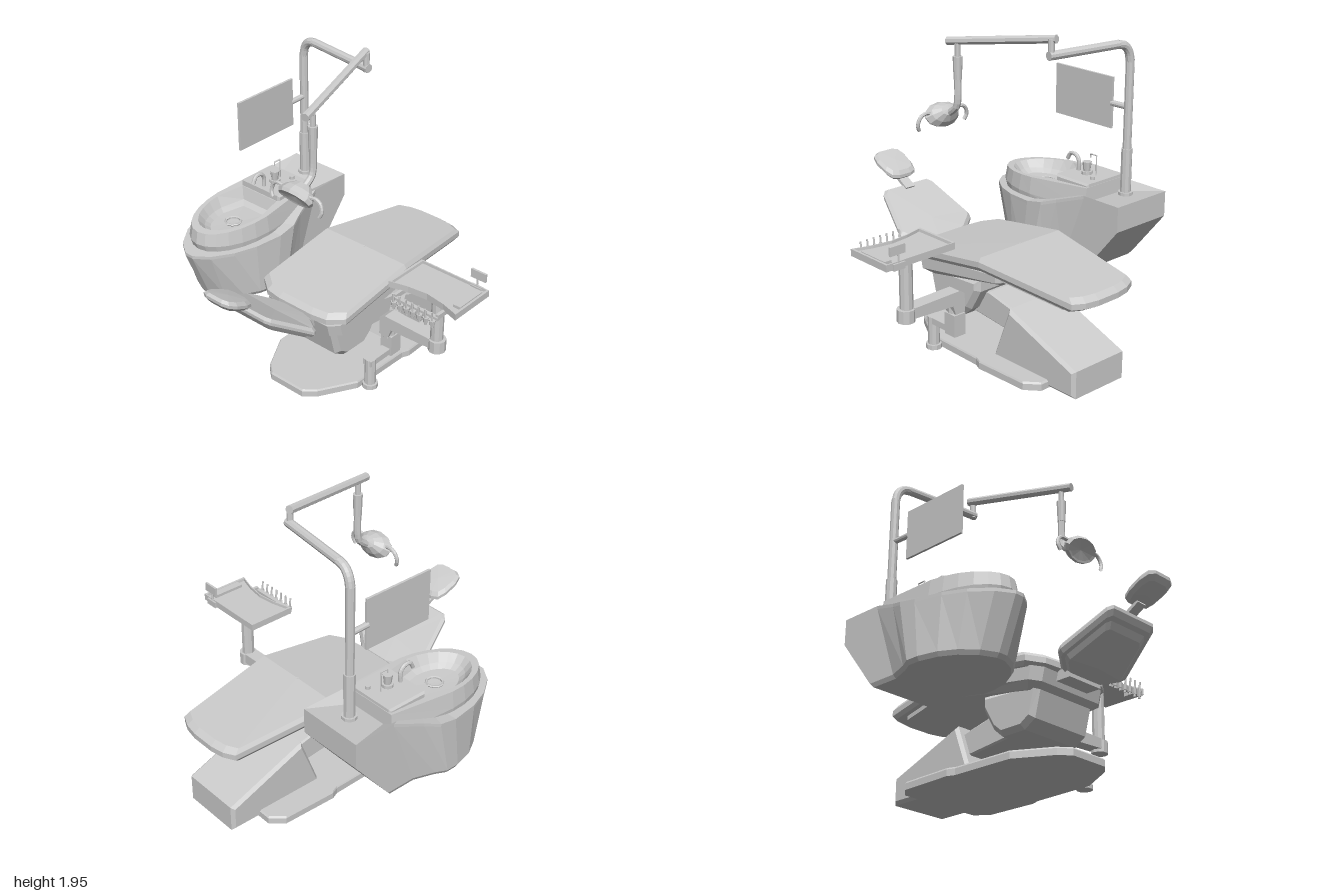
import * as THREE from 'three';

const mat = new THREE.MeshStandardMaterial({ color: 0xcccccc, flatShading: true, side: THREE.DoubleSide });
const V = (x, y, z) => new THREE.Vector3(x, y, z);

export function createModel() {
  const root = new THREE.Group();
  const add = (name, geo, x = 0, y = 0, z = 0, parent = root) => {
    const m = new THREE.Mesh(geo, mat);
    m.name = name;
    m.position.set(x, y, z);
    parent.add(m);
    return m;
  };
  const box = (name, x0, x1, y0, y1, z0, z1) =>
    add(name, new THREE.BoxGeometry(x1 - x0, y1 - y0, z1 - z0), (x0 + x1) / 2, (y0 + y1) / 2, (z0 + z1) / 2);
  const rod = (name, a, b, r0, r1 = r0, sides = 10, parent = root) => {
    const d = b.clone().sub(a);
    const m = add(name, new THREE.CylinderGeometry(r1, r0, d.length(), sides), 0, 0, 0, parent);
    m.position.copy(a).addScaledVector(d, 0.5);
    m.quaternion.setFromUnitVectors(V(0, 1, 0), d.normalize());
    return m;
  };
  const tube = (name, pts, r, seg = 14, sides = 8, parent = root) =>
    add(name, new THREE.TubeGeometry(new THREE.CatmullRomCurve3(pts, false, 'centripetal'), seg, r, sides), 0, 0, 0, parent);
  // side profile in x/y, extruded across z between z0 and z1
  const profile = (name, pts, z0, z1, bevel = 0.02) => {
    const g = new THREE.ExtrudeGeometry(new THREE.Shape(pts.map(p => new THREE.Vector2(...p))), {
      depth: z1 - z0 - 2 * bevel, bevelEnabled: bevel > 0, bevelSize: bevel, bevelOffset: -bevel, bevelThickness: bevel, bevelSegments: 1 });
    return add(name, g, 0, 0, z0 + bevel);
  };

  // closed loft through rings of equal length, wound outward by its signed volume
  const loft = (name, rings) => {
    const n = rings[0].length, tris = [];
    for (let k = 0; k < rings.length - 1; k++) for (let i = 0; i < n; i++) {
      const j = (i + 1) % n, [a, b, c, d] = [rings[k][i], rings[k][j], rings[k + 1][j], rings[k + 1][i]];
      tris.push([a, b, c], [a, c, d]);
    }
    const cap = (ring, flip) => {
      const m = ring.reduce((s, p) => s.add(p), V(0, 0, 0)).divideScalar(n);
      ring.forEach((p, i) => tris.push(flip ? [m, ring[(i + 1) % n], p] : [m, p, ring[(i + 1) % n]]));
    };
    cap(rings[0], true);
    cap(rings[rings.length - 1], false);
    const volume = tris.reduce((s, [a, b, c]) => s + a.dot(b.clone().cross(c)), 0);
    const g = new THREE.BufferGeometry().setFromPoints(tris.flatMap(t => (volume < 0 ? [t[0], t[2], t[1]] : t)));
    g.computeVertexNormals();
    return add(name, g);
  };
  // padded slab: x/z outline following height h(x), layers are [scale, offset]
  const slab = (name, outline, [cx, cz], h, layers) => loft(name, layers.map(([s, dy]) => outline.map(([x, z]) => {
    const px = cx + (x - cx) * s, pz = cz + (z - cz) * s;
    return V(px, h(px) + dy, pz);
  })));
  const mirrorZ = half => [...half, ...half.slice().reverse().map(([x, z]) => [x, -z])];
  const bend = pts => x => {
    let i = 0;
    while (i < pts.length - 2 && x > pts[i + 1][0]) i++;
    const [[x0, y0], [x1, y1]] = [pts[i], pts[i + 1]];
    return y0 + (y1 - y0) * (x - x0) / (x1 - x0);
  };

  // --- base and lift ---
  slab('basePlate', mirrorZ([[-0.44, 0.13], [-0.38, 0.2], [-0.15, 0.33], [0.27, 0.34], [0.32, 0.36], [0.68, 0.35], [0.76, 0.28]]),
    [0.15, 0], () => 0, [[0.02, 0], [1, 0], [1, 0.04], [0.985, 0.05], [0.02, 0.05]]);
  profile('footHousing', [[0.28, 0], [0.96, 0], [0.96, 0.17], [0.42, 0.375]], -0.2, 0.225, 0.02);
  profile('liftArm', [[0.02, 0.22], [0.4, 0.18], [0.42, 0.33], [0.18, 0.385], [0.02, 0.38]], -0.15, 0.15, 0.01);
  profile('chairHub', [[-0.28, 0.45], [-0.23, 0.25], [-0.15, 0.2], [0.02, 0.2], [0.09, 0.26], [0.17, 0.4], [0.17, 0.48]], -0.24, 0.24, 0.03);

  // --- chair ---
  const seatOutline = mirrorZ([[-0.355, 0.13], [-0.34, 0.24], [-0.27, 0.335], [0.29, 0.335], [0.95, 0.245], [0.985, 0.17], [1, 0.08]]);
  const seatY = bend([[-0.36, 0.555], [0.29, 0.65], [1, 0.572]]);
  slab('seatCushion', seatOutline, [0.29, 0], seatY,
    [[0.02, -0.045], [0.95, -0.045], [1, -0.02], [1, 0.015], [0.95, 0.04], [0.02, 0.042]]);
  const panSection = (y, x0, x1, w) => [[x0, w * 0.8], [x0 + 0.05, w], [x1 - 0.03, w], [x1, w * 0.95]].map(([x, z]) => V(x, y(x), z))
    .concat([[x1, w * 0.95], [x1 - 0.03, w], [x0 + 0.05, w], [x0, w * 0.8]].map(([x, z]) => V(x, y(x), -z)));
  loft('seatPan', [panSection(bend([[-0.3, 0.395], [0.4, 0.53]]), -0.26, 0.4, 0.25),
    panSection(bend([[-0.3, 0.44], [0.4, 0.555]]), -0.31, 0.42, 0.3),
    panSection(x => seatY(x) - 0.04, -0.33, 0.42, 0.3)]);
  slab('legPan', mirrorZ([[0.43, 0.27], [0.85, 0.21]]), [0.64, 0], seatY, [[0.02, -0.072], [1, -0.072], [1, -0.03], [0.02, -0.03]]);

  const backOutline = mirrorZ([[-0.785, 0.17], [-0.76, 0.2], [-0.49, 0.285], [-0.46, 0.27], [-0.38, 0.16], [-0.355, 0.08]]);
  const backY = bend([[-0.79, 0.767], [-0.52, 0.585], [-0.355, 0.525]]);
  slab('backrestCushion', backOutline, [-0.52, 0], backY,
    [[0.02, -0.035], [0.93, -0.03], [1, -0.008], [1, 0.012], [0.93, 0.035], [0.02, 0.045]]);
  slab('backrestShell', backOutline, [-0.52, 0], backY, [[0.02, -0.06], [0.75, -0.055], [0.87, -0.02], [0.02, -0.02]]);
  box('backrestHinge', -0.42, -0.28, 0.47, 0.53, -0.13, 0.13);
  slab('headrest', mirrorZ([[-1, 0.06], [-0.98, 0.1], [-0.93, 0.115], [-0.85, 0.11], [-0.8, 0.09], [-0.785, 0.045]]), [-0.89, 0],
    bend([[-1, 0.945], [-0.785, 0.845]]), [[0.02, -0.038], [0.8, -0.035], [1, -0.012], [1, 0.008], [0.85, 0.028], [0.02, 0.032]]);
  const strut = box('headrestStrut', -0.85, -0.73, 0.79, 0.81, -0.035, 0.035);
  strut.rotation.z = -0.55;

  // --- basin unit ---
  const CZ = -0.685;
  const bodyHalf = [[0.63, 0.215], [0.35, 0.215], [0.16, 0.26], [0.06, 0.295], [-0.06, 0.295], [-0.24, 0.265],
    [-0.38, 0.21], [-0.5, 0.125], [-0.565, 0.03]];
  const bodyOutline = mirrorZ(bodyHalf);
  const bodyTop = bend([[-0.57, 0.745], [0, 0.77], [0.35, 0.89], [0.63, 0.89]]);
  const bodyRing = (s, y, squeeze) => bodyOutline.map(([x, z]) => {
    const px = -0.05 + (x + 0.05) * s;
    return V(squeeze ? -0.45 + (px + 0.57) * 0.83 / 1.2 : px, y(px), CZ + z * s);
  });
  const sideTop = x => (x > 0.5 ? 0.73 : bodyTop(x) - 0.02);
  loft('basinBody', [bodyRing(0.02, () => 0.395, true), bodyRing(0.95, () => 0.395, true), bodyRing(1, () => 0.42, true),
    bodyRing(1, sideTop), bodyRing(1, bodyTop), bodyRing(0.02, bodyTop)]);

  // rounded at -x, straight end at +x
  const bowlRing = (cx, rx, rz, xr, rzr, y) => {
    const pts = [];
    for (let i = 0; i <= 12; i++) {
      const a = Math.PI / 2 + Math.PI * i / 12;
      pts.push([cx + rx * Math.cos(a), rz * Math.sin(a)]);
    }
    pts.push([xr, -rzr], [xr, rzr]);
    return pts.map(([x, z]) => V(x, y(x), CZ + z));
  };
  const rimY = x => 0.87 + (x + 0.48) * 0.07;
  loft('basinBowl', [bowlRing(-0.1, 0.37, 0.225, 0.34, 0.2, () => 0.7), bowlRing(-0.1, 0.4, 0.235, 0.35, 0.2, () => 0.79),
    bowlRing(-0.1, 0.385, 0.22, 0.34, 0.18, rimY), bowlRing(-0.13, 0.3, 0.19, 0.055, 0.15, rimY),
    bowlRing(-0.14, 0.25, 0.15, 0.03, 0.12, () => 0.83), bowlRing(-0.15, 0.2, 0.12, 0, 0.09, () => 0.805),
    bowlRing(-0.18, 0.01, 0.01, -0.17, 0.01, () => 0.8)]);
  add('basinDrain', new THREE.TorusGeometry(0.05, 0.008, 5, 10).rotateX(Math.PI / 2), -0.18, 0.808, CZ);
  profile('tapConsole', [[0.06, 0.86], [0.345, 0.83], [0.335, 0.945], [0.06, 0.945]], -0.85, -0.52, 0.012);
  tube('tap', [V(0.1, 0.93, CZ), V(0.1, 1.01, CZ), V(0.075, 1.04, CZ), V(0.03, 1.04, CZ), V(0.005, 1.0, CZ)], 0.013);
  rod('cupBase', V(0.185, 0.94, -0.67), V(0.185, 0.965, -0.67), 0.035);
  rod('cup', V(0.185, 0.965, -0.67), V(0.185, 1.025, -0.67), 0.022, 0.03);
  [[V(0.25, 0.94, CZ), V(0.25, 1.075, CZ)], [V(0.25, 1.075, CZ), V(0.2, 1.075, CZ)], [V(0.2, 1.075, CZ), V(0.2, 1.05, CZ)]]
    .forEach(([a, b]) => rod('cupFiller', a, b, 0.004, 0.004, 6));
  rod('consoleKnob', V(0.285, 0.94, -0.615), V(0.285, 0.965, -0.615), 0.016);
  rod('basinSupport', V(0.09, 0.507, -0.22), V(0.09, 0.507, -0.5), 0.025);

  // --- pole, monitor and lamp arm ---
  rod('poleCollar', V(0.49, 0.885, -0.69), V(0.49, 0.905, -0.69), 0.045);
  rod('poleSleeve', V(0.49, 0.89, -0.69), V(0.49, 1.18, -0.69), 0.034);
  rod('pole', V(0.49, 1.18, -0.69), V(0.49, 1.73, -0.69), 0.027);
  tube('poleBend', [V(0.49, 1.72, -0.69), V(0.489, 1.78, -0.675), V(0.485, 1.82, -0.64), V(0.48, 1.833, -0.59)], 0.027, 8, 10);
  rod('poleArm', V(0.48, 1.833, -0.595), V(0.41, 1.833, -0.09), 0.027);
  rod('armPivot', V(0.41, 1.81, -0.11), V(0.41, 1.93, -0.11), 0.02);
  rod('lampArm', V(0.43, 1.928, -0.13), V(-0.295, 1.822, 0.05), 0.026, 0.026, 8);
  box('monitor', -0.1, 0.37, 1.28, 1.6, -0.69, -0.675);
  rod('monitorArm', V(0.36, 1.437, -0.685), V(0.48, 1.437, -0.69), 0.018);
  const DZ = 0.038;
  rod('lampDropUpper', V(-0.22, 1.82, DZ), V(-0.22, 1.73, DZ), 0.017);
  rod('lampDropSleeve', V(-0.22, 1.74, DZ), V(-0.22, 1.6, DZ), 0.03, 0.025);
  tube('lampDropLower', [V(-0.22, 1.62, DZ), V(-0.222, 1.47, DZ), V(-0.235, 1.425, DZ), V(-0.3, 1.375, DZ)], 0.022, 10);

  // lamp head: local +y is the back of the dish
  const lamp = new THREE.Group();
  lamp.name = 'lampHead';
  lamp.position.set(-0.385, 1.34, DZ);
  lamp.rotation.z = -0.98;
  root.add(lamp);
  const dish = add('lampDish', new THREE.LatheGeometry([[0, 0.015], [0.06, 0.004], [0.072, 0], [0.08, 0.02], [0.065, 0.06], [0.035, 0.1], [0, 0.11]]
    .map(p => new THREE.Vector2(...p)), 12), 0, 0, 0, lamp);
  dish.scale.z = 1.6;
  for (const s of [-1, 1])
    tube('lampHandle', [V(-0.02, 0.04, s * 0.1), V(-0.02, 0.045, s * 0.15), V(-0.005, 0.035, s * 0.18), V(0.03, 0.005, s * 0.195), V(0.055, -0.02, s * 0.18)], 0.012, 10, 7, lamp);

  // --- instrument tray stand ---
  rod('standFoot', V(-0.08, 0, 0.37), V(-0.08, 0.03, 0.37), 0.05);
  rod('standPost', V(-0.08, 0.02, 0.37), V(-0.08, 0.21, 0.37), 0.036);
  box('standBracket', -0.11, 0.15, 0.17, 0.21, 0.335, 0.4);
  box('standColumn', 0.07, 0.16, 0.16, 0.3, 0.325, 0.41);
  rod('standSwivel', V(0.105, 0.28, 0.365), V(0.105, 0.42, 0.365), 0.04);
  const armShape = new THREE.Shape([[-0.32, 0.3], [-0.39, 0.3], [-0.41, 0.36], [-0.7, 0.375], [-0.7, 0.44], [-0.36, 0.445], [-0.32, 0.42]]
    .map(p => new THREE.Vector2(...p)));
  add('swingArm', new THREE.ExtrudeGeometry(armShape, { depth: 0.09, bevelEnabled: false }).rotateY(Math.PI / 2), 0.06, 0, 0);
  rod('armHub', V(0.105, 0.355, 0.73), V(0.105, 0.435, 0.73), 0.055);
  rod('trayPost', V(0.105, 0.4, 0.725), V(0.105, 0.78, 0.725), 0.04);

  const trayOutline = [[0.25, 0.48], [0.25, 0.975], [-0.07, 0.975], [-0.035, 0.86], [-0.015, 0.73], [-0.03, 0.6], [-0.06, 0.48]];
  slab('tray', trayOutline, [0.11, 0.73], () => 0.775, [[0.02, 0], [1, 0], [1, 0.042], [0.94, 0.042], [0.93, 0.025], [0.02, 0.025]]);
  box('trayPads', 0, 0.21, 0.8, 0.818, 0.905, 0.955);
  rod('panelStem', V(0.25, 0.79, 0.89), V(0.25, 0.89, 0.89), 0.006, 0.006, 6);
  box('controlPanel', 0.243, 0.257, 0.86, 0.915, 0.845, 0.95);
  box('panelMount', 0.235, 0.262, 0.77, 0.81, 0.85, 0.93);

  // instrument rack
  box('instrumentRail', -0.11, -0.085, 0.745, 0.765, 0.55, 0.88);
  for (const z of [0.56, 0.87]) box('railBracket', -0.1, 0, 0.75, 0.78, z - 0.01, z + 0.01);
  for (let i = 0; i < 7; i++) {
    const z = 0.575 + i * 0.047;
    rod('instrumentHolder', V(-0.125, 0.715, z), V(-0.125, 0.75, z), 0.014, 0.019, 7);
    rod('instrument', V(-0.125, 0.7, z), V(-0.135, 0.81, z), 0.008, 0.006, 6);
  }
  return root;
}
